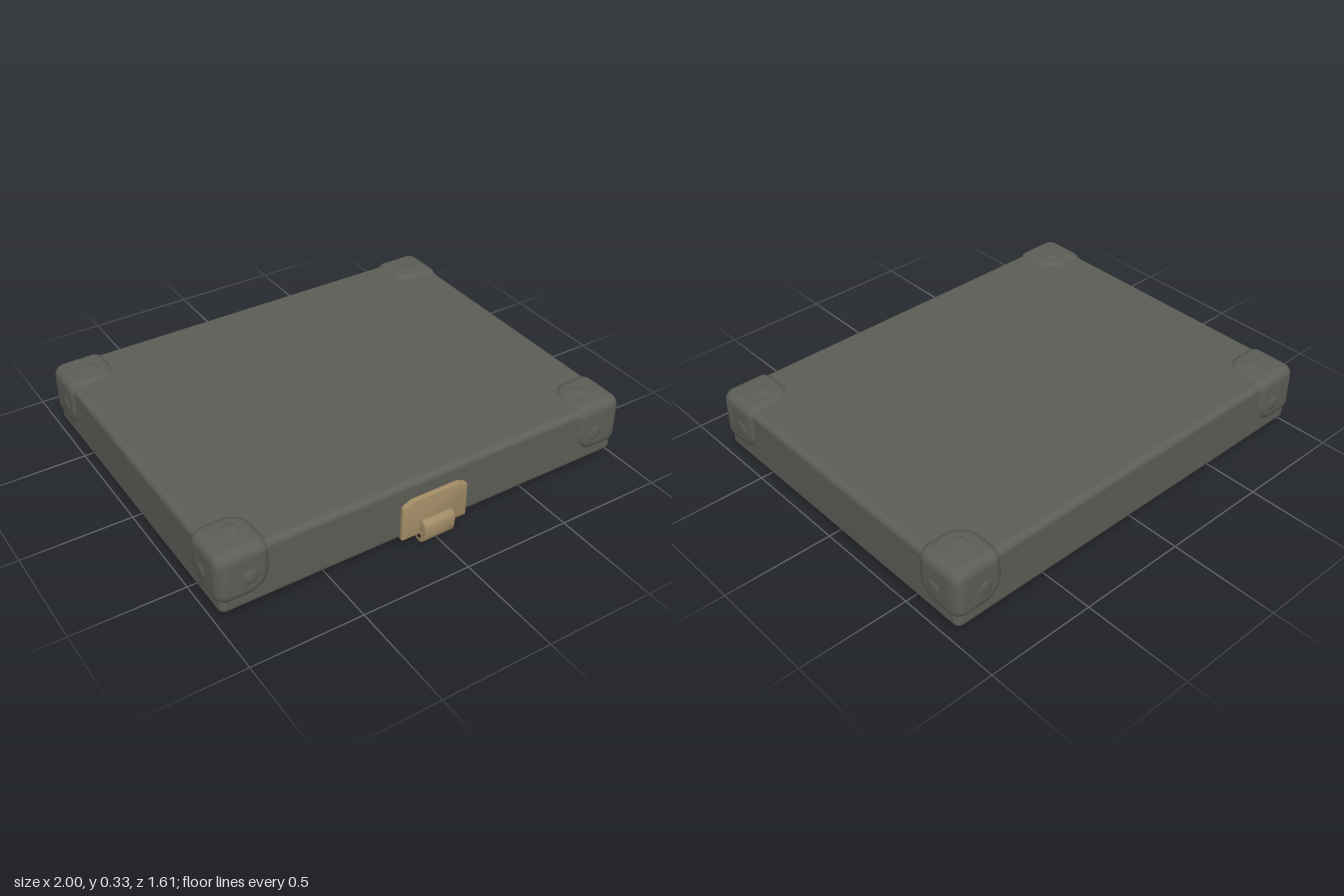
import * as THREE from 'three';
import { toCreasedNormals } from 'three/addons/utils/BufferGeometryUtils.js';
import { RoundedBoxGeometry } from 'three/addons/geometries/RoundedBoxGeometry.js';

const shell = new THREE.MeshStandardMaterial({ color: 0x5c5e57 });
shell.name = 'grey green shell';
const brass = new THREE.MeshStandardMaterial({ color: 0xa38d67 });
brass.name = 'dull brass';

function addMesh(parent, name, geometry, material, x = 0, y = 0, z = 0) {
  const mesh = new THREE.Mesh(geometry, material);
  mesh.name = name;
  mesh.position.set(x, y, z);
  parent.add(mesh);
  return mesh;
}

// Square plate with its outer corner at the origin and a broad round on the inner corner
function capPlateGeometry(size, r) {
  const a = -r - 0.006, b = -size + r, in0 = -r, s = 0.006, big = 0.06;
  const shape = new THREE.Shape();
  shape.moveTo(a, in0);
  shape.lineTo(b + s, in0);
  shape.absarc(b + s, in0 - s, s, Math.PI / 2, Math.PI, false);
  shape.lineTo(b, b + big);
  shape.absarc(b + big, b + big, big, Math.PI, Math.PI * 1.5, false);
  shape.lineTo(in0 - s, b);
  shape.absarc(in0 - s, b + s, s, -Math.PI / 2, 0, false);
  shape.lineTo(in0, a);
  shape.absarc(a, a, s, 0, Math.PI / 2, false);
  const g = new THREE.ExtrudeGeometry(shape, {
    depth: 0.02, bevelEnabled: true, bevelSize: r, bevelThickness: r, bevelSegments: 6, curveSegments: 8,
  });
  g.translate(0, 0, -0.02 - r);
  return toCreasedNormals(g, 0.8);
}

// Corner guard: the same plate turned onto three faces, each with a low rivet
function createCorner(plate, rivet) {
  const corner = new THREE.Group();
  corner.name = 'cornerGuard';
  const diagonal = new THREE.Vector3(1, 1, 1).normalize();
  for (let i = 0; i < 3; i++) {
    const face = new THREE.Group();
    face.name = 'cornerFace';
    face.quaternion.setFromAxisAngle(diagonal, (i * Math.PI * 2) / 3);
    addMesh(face, 'cornerPlate', plate, shell);
    addMesh(face, 'cornerRivet', rivet, shell, -0.135, -0.14, -0.001);
    corner.add(face);
  }
  return corner;
}

// Latch backing plate outline with stepped shoulders
function latchPlateGeometry() {
  const shape = new THREE.Shape();
  shape.moveTo(-0.16, 0.055);
  shape.lineTo(0.15, 0.055);
  shape.lineTo(0.15, 0.2);
  shape.quadraticCurveTo(0.15, 0.22, 0.125, 0.222);
  shape.quadraticCurveTo(0.115, 0.232, 0.1, 0.232);
  shape.lineTo(-0.11, 0.232);
  shape.quadraticCurveTo(-0.125, 0.232, -0.135, 0.222);
  shape.quadraticCurveTo(-0.16, 0.22, -0.16, 0.2);
  const g = new THREE.ExtrudeGeometry(shape, {
    depth: 0.02, bevelEnabled: true, bevelSize: 0.005, bevelThickness: 0.006, bevelSegments: 3,
  });
  return toCreasedNormals(g, 0.7);
}

// Curled hook, drawn from the side as (z, y) and swept across x
function hookGeometry(width) {
  const outline = new THREE.SplineCurve([
    [0.785, 0.122], [0.802, 0.108], [0.806, 0.075], [0.799, 0.035], [0.772, 0.01],
    [0.742, 0.018], [0.728, 0.042], [0.742, 0.052], [0.757, 0.06], [0.766, 0.112], [0.785, 0.122],
  ].map(([z, y]) => new THREE.Vector2(z, y)));
  const shape = new THREE.Shape(outline.getPoints(36).slice(0, -1));
  const hole = new THREE.Path();
  hole.absarc(0.768, 0.039, 0.012, 0, Math.PI * 2, true);
  shape.holes.push(hole);
  const bevel = 0.004;
  const g = new THREE.ExtrudeGeometry(shape, {
    depth: width - 2 * bevel, bevelEnabled: true, bevelSize: bevel, bevelThickness: bevel, bevelSegments: 2,
  });
  g.translate(0, 0, -width / 2 + bevel);
  g.rotateY(-Math.PI / 2);
  return toCreasedNormals(g, 0.7);
}

export function createModel() {
  const model = new THREE.Group();
  model.name = 'flatCase';
  const cx = -0.004, cz = -0.015;

  // Softly rounded slab
  addMesh(model, 'caseBody', new RoundedBoxGeometry(1.96, 0.275, 1.54, 5, 0.03), shell, cx, 0.1805, cz);

  // Four corner guards, each a quarter turn from the last
  const plate = capPlateGeometry(0.238, 0.045);
  const rivet = new THREE.SphereGeometry(0.035, 20, 12);
  rivet.scale(1, 1, 0.2);
  [[1, 1], [1, -1], [-1, -1], [-1, 1]].forEach(([sx, sz], i) => {
    const corner = createCorner(plate, rivet);
    corner.rotation.y = (i * Math.PI) / 2;
    corner.position.set(cx + sx * 0.992, 0.332, cz + sz * 0.783);
    model.add(corner);
  });

  // Front latch
  const latch = new THREE.Group();
  latch.name = 'latch';
  latch.position.x = -0.003;
  addMesh(latch, 'latchPlate', latchPlateGeometry(), brass, 0.004, 0, 0.748);
  addMesh(latch, 'latchHook', hookGeometry(0.15), brass);
  addMesh(latch, 'latchUnderPlate', new RoundedBoxGeometry(0.15, 0.012, 0.15, 2, 0.004), brass, 0, 0.041, 0.665);
  model.add(latch);

  return model;
}
